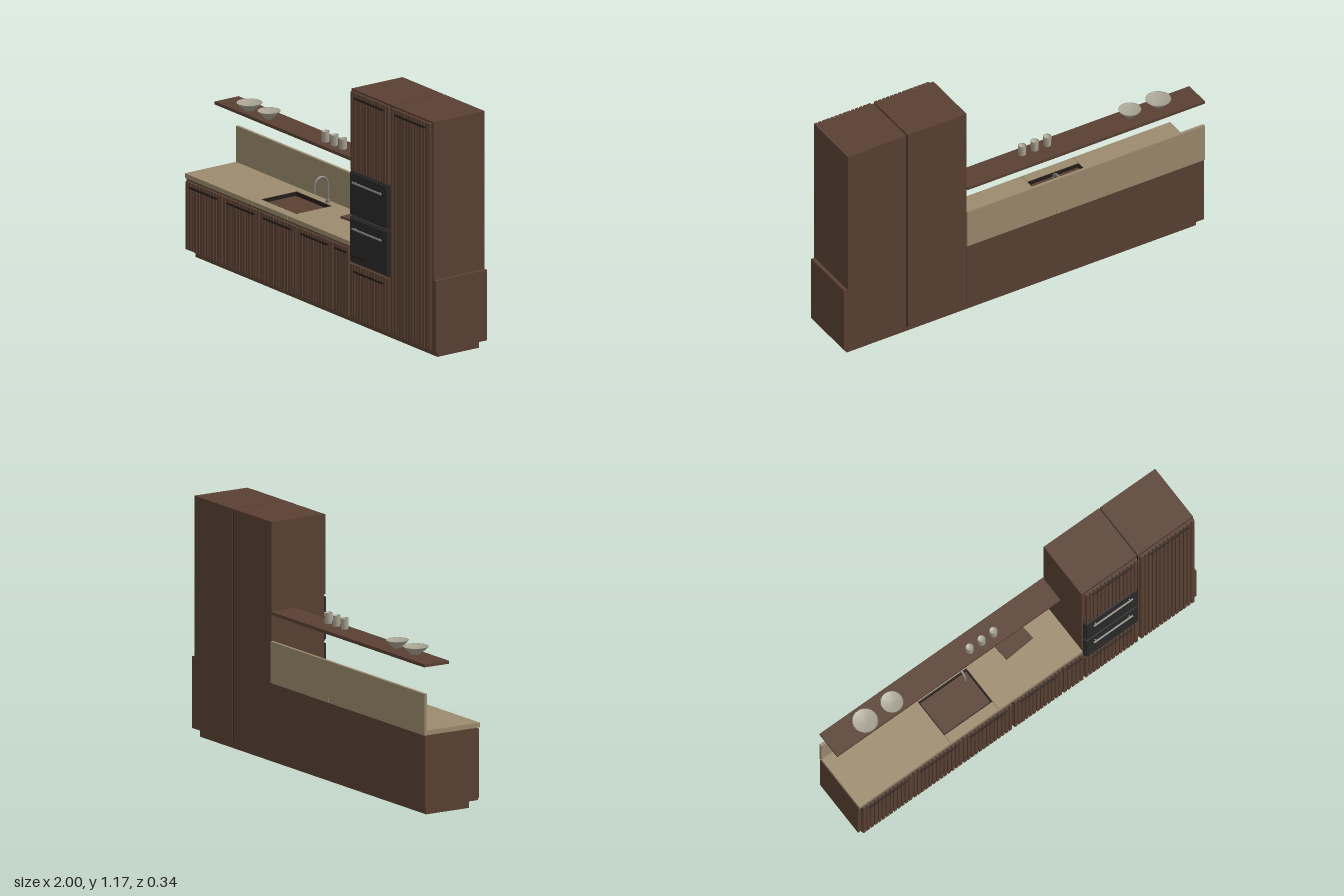
import * as THREE from 'three';

const mat = (name, color) => {
  const m = new THREE.MeshStandardMaterial({ color, side: THREE.DoubleSide });
  m.name = name;
  return m;
};

export function createModel() {
  const root = new THREE.Group();
  root.name = 'kitchenRun';
  const wood = mat('walnut', 0x5a4033);
  const stone = mat('stone', 0x9c8b6e);
  const dark = mat('darkGap', 0x241c18);
  const black = mat('ovenBlack', 0x2a2a2b);
  const metal = mat('metal', 0x85827a);
  const ceramic = mat('ceramic', 0xaaa595);

  const add = (name, geo, material, parent = root) => {
    const m = new THREE.Mesh(geo, material);
    m.name = name;
    parent.add(m);
    return m;
  };
  // Box given by its limits on each axis
  const box = (name, material, x0, x1, y0, y1, z0, z1, parent = root) => {
    const m = add(name, new THREE.BoxGeometry(x1 - x0, y1 - y0, z1 - z0), material, parent);
    m.position.set((x0 + x1) / 2, (y0 + y1) / 2, (z0 + z1) / 2);
    return m;
  };

  // Plinth with shadow gap
  box('plinth', wood, -0.97, 0.97, 0, 0.031, -0.14, 0.105);
  box('plinthGap', dark, -0.95, 0.95, 0.031, 0.04, -0.1, 0.08);

  // Carcasses
  const back = -0.165, front = 0.135;
  box('baseCarcass', wood, -1, 0.319, 0.04, 0.39, back, front);
  box('ovenTower', wood, 0.321, 0.647, 0.04, 1.175, back, front);
  box('larderTower', wood, 0.654, 0.98, 0.04, 1.175, back, front);
  box('towerSeam', dark, 0.647, 0.654, 0.04, 1.17, back + 0.004, front);
  box('endPanel', wood, 0.98, 1, 0.04, 0.39, back, front);

  // Fluted door: backing panel, vertical slats and a slim pull
  const door = (name, x0, x1, y0, y1, pullY) => {
    const g = new THREE.Group();
    g.name = name;
    root.add(g);
    box('doorGap', dark, x0 + 0.004, x1 - 0.004, y0 + 0.004, y1 - 0.004, front, 0.139, g);
    box('doorPanel', wood, x0, x1, y0, y1, 0.139, 0.146, g);
    const n = Math.max(4, Math.round((x1 - x0) / 0.0225));
    const pitch = (x1 - x0) / n;
    for (let i = 0; i < n; i++) {
      const x = x0 + (i + 0.5) * pitch;
      box('slat', wood, x - pitch * 0.36, x + pitch * 0.36, y0, y1, 0.146, 0.154, g);
    }
    const w = (x1 - x0) * 0.38, c = (x0 + x1) / 2;
    if (pullY) box('pull', dark, c - w, c + w, pullY - 0.004, pullY + 0.004, 0.152, 0.161, g);
  };
  [[-0.985, -0.69], [-0.685, -0.395], [-0.39, -0.1], [-0.09, 0.195], [0.2, 0.322]].forEach(([a, b], i) =>
    door('baseDoor' + (i + 1), a, b, 0.045, 0.382, 0.36));
  door('ovenLowerDoor', 0.33, 0.643, 0.045, 0.312, 0.28);
  door('ovenUpperDoor', 0.335, 0.642, 0.78, 1.168, 1.143);
  door('larderDoor', 0.658, 0.977, 0.045, 1.168, 1.143);

  // Two built-in ovens
  [[0.322, 0.545, 0.495], [0.555, 0.772, 0.725]].forEach(([y0, y1, hy], i) => {
    const g = new THREE.Group();
    g.name = i ? 'upperOven' : 'lowerOven';
    root.add(g);
    box('ovenBody', black, 0.33, 0.643, y0, y1, front, 0.147, g);
    box('ovenDoor', black, 0.337, 0.634, y0 + 0.005, y1 - 0.005, 0.147, 0.156, g);
    const bar = add('ovenHandle', new THREE.CylinderGeometry(0.005, 0.005, 0.23, 10), metal, g);
    bar.rotation.z = Math.PI / 2;
    bar.position.set(0.485, hy, 0.167);
    for (const s of [-1, 1])
      box('handlePost', metal, 0.482 + s * 0.1, 0.488 + s * 0.1, hy - 0.003, hy + 0.003, 0.155, 0.167, g);
  });
  box('ovenControls', dark, 0.345, 0.46, 0.353, 0.362, 0.156, 0.159);

  // Worktop around the sink opening
  const y0 = 0.393, y1 = 0.416, zb = -0.17, zf = 0.146;
  box('worktopRight', stone, -0.174, 0.319, y0, y1, zb, zf);
  box('worktopLeft', stone, -1, -0.461, y0, y1, zb, zf);
  box('worktopSinkFront', stone, -0.459, -0.176, y0, y1, 0.095, zf);
  box('worktopSinkBack', stone, -0.459, -0.176, y0, y1, zb, -0.115);
  box('worktopGap', dark, -0.99, 0.315, 0.39, 0.393, -0.16, 0.135);
  box('backsplash', stone, -1, 0.319, y1, 0.595, -0.17, -0.155);

  // Sink: wooden floor with dark walls
  box('sinkFloor', wood, -0.458, -0.177, 0.393, 0.396, -0.115, 0.095);
  box('sinkWallBack', dark, -0.459, -0.176, 0.394, 0.414, -0.115, -0.108);
  box('sinkWallFront', dark, -0.459, -0.176, 0.394, 0.414, 0.089, 0.095);
  box('sinkWallLeft', dark, -0.461, -0.455, 0.394, 0.414, -0.115, 0.095);
  box('sinkWallRight', dark, -0.18, -0.174, 0.394, 0.414, -0.115, 0.095);

  // Gooseneck tap
  const path = [[0.416, -0.13], [0.5, -0.13], [0.535, -0.12], [0.55, -0.09], [0.535, -0.06], [0.5, -0.05], [0.475, -0.05]];
  const neck = new THREE.CatmullRomCurve3(path.map(([y, z]) => new THREE.Vector3(-0.23, y, z)));
  add('tap', new THREE.TubeGeometry(neck, 32, 0.006, 10), metal);
  const foot = add('tapFoot', new THREE.CylinderGeometry(0.01, 0.01, 0.016, 16), metal);
  foot.position.set(-0.23, 0.424, -0.13);

  // Chopping board lying flat and another leaning by the tower
  const board = box('choppingBoard', wood, 0, 0.165, 0.416, 0.426, -0.145, -0.04);
  board.rotation.y = 0.08;
  const lean = new THREE.Shape([[0.155, 0.417], [0.318, 0.417], [0.318, 0.56], [0.3, 0.557], [0.175, 0.475]]
    .map(([x, y]) => new THREE.Vector2(x, y)));
  add('leaningBoard', new THREE.ExtrudeGeometry(lean, { depth: 0.008, bevelEnabled: false }), wood).position.z = -0.155;

  // Wall shelf
  box('shelf', wood, -1, 0.319, 0.725, 0.74, -0.17, -0.03);
  box('shelfUnderside', wood, -0.95, 0.3, 0.72, 0.725, -0.16, -0.04);

  // Bowls
  [[-0.795, 0.062], [-0.637, 0.055]].forEach(([x, r]) => {
    const profile = [[0, 0], [0.4, 0], [0.45, 0.006], [0.72, 0.02], [1, 0.038], [0.95, 0.038], [0.6, 0.031], [0, 0.028]];
    const bowl = add('bowl', new THREE.LatheGeometry(profile.map(([k, y]) => new THREE.Vector2(k * r, y)), 28), ceramic);
    bowl.position.set(x, 0.74, -0.083);
  });

  // Cups
  [-0.18, -0.11, -0.04].forEach((x) => {
    const profile = [[0, 0], [0.016, 0], [0.018, 0.004], [0.02, 0.054], [0.017, 0.054], [0.016, 0.046], [0, 0.046]];
    const cup = add('cup', new THREE.LatheGeometry(profile.map(([r, y]) => new THREE.Vector2(r, y)), 16), ceramic);
    cup.position.set(x, 0.74, -0.08);
  });

  return root;
}
